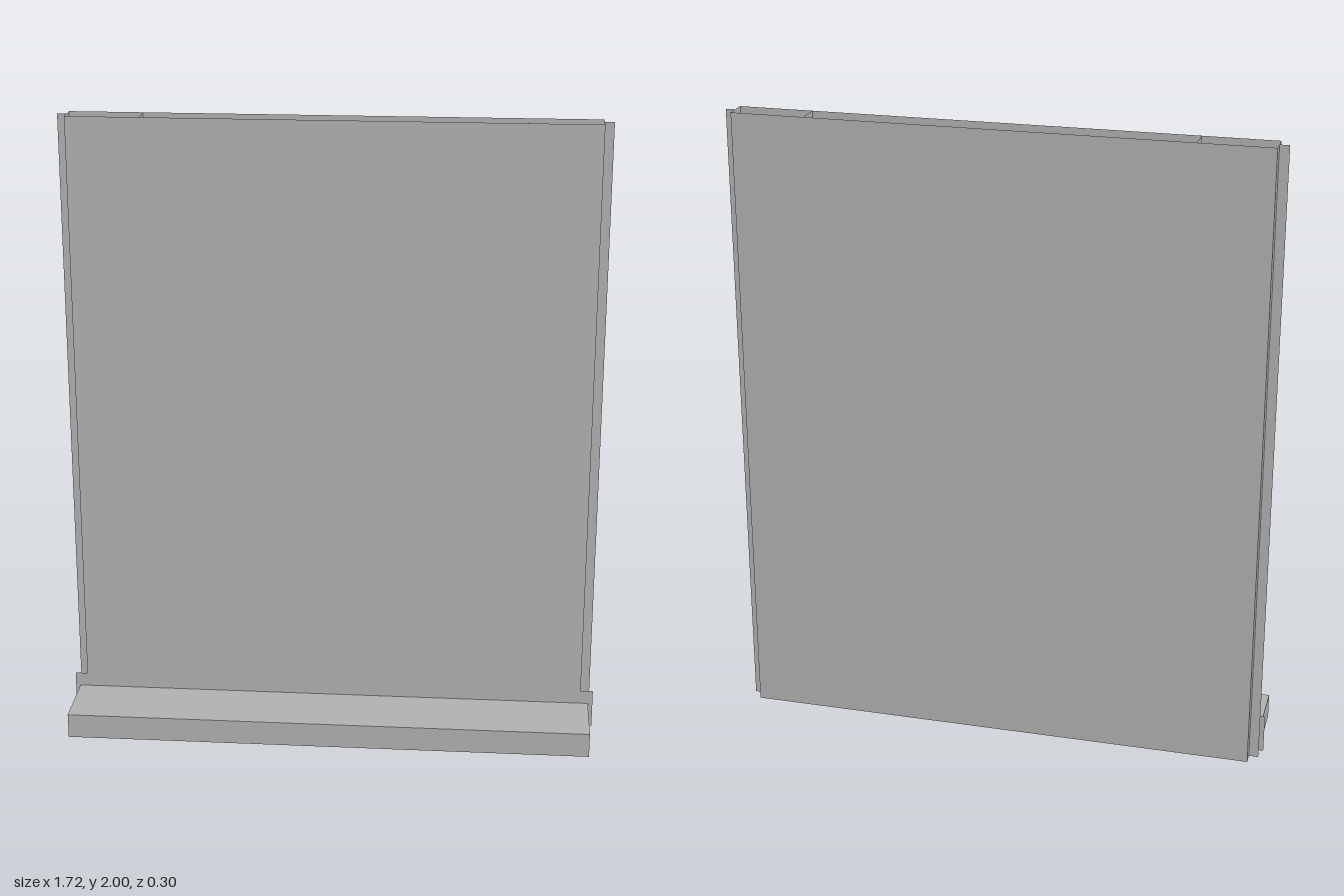
import * as THREE from 'three';

export function createModel() {
  const model = new THREE.Group();
  const grey = new THREE.MeshStandardMaterial({ color: 0xb0b0b0, side: THREE.DoubleSide });
  grey.name = 'plainGrey';

  const H = 2, HALF = 0.82, FRONT = -0.07, BACK = -0.15, MID = -0.112;
  const depth = FRONT - BACK, zc = (FRONT + BACK) / 2;

  const add = (name, geometry, x, y, z) => {
    const mesh = new THREE.Mesh(geometry, grey);
    mesh.name = name;
    mesh.position.set(x, y, z);
    model.add(mesh);
    return mesh;
  };
  // Thin sheets facing along z or x
  const sheetZ = (name, w, h, x, y, z, back = false) => {
    add(name, new THREE.PlaneGeometry(w, h), x, y, z).rotation.y = back ? Math.PI : 0;
  };
  const sheetX = (name, d, h, x, y, z, side) => {
    add(name, new THREE.PlaneGeometry(d, h), x, y, z).rotation.y = side * Math.PI / 2;
  };

  // Hollow panel, open at the top
  sheetZ('frontSheet', HALF * 2, H, 0, H / 2, FRONT);
  sheetZ('backSheet', HALF * 2, H, 0, H / 2, BACK, true);
  add('panelBottom', new THREE.PlaneGeometry(HALF * 2, MID - BACK), 0, 0, (MID + BACK) / 2).rotation.x = Math.PI / 2;

  for (const s of [-1, 1]) {
    // Side wall, inner rib, edge fin and foot bracket
    sheetX('sideWall', depth, H, s * HALF, H / 2, zc, s);
    sheetX('innerRib', depth, H, s * 0.59, H / 2, zc, s);
    sheetZ('edgeFin', 0.03, H, s * 0.835, H / 2, MID);
    sheetZ('footBracket', 0.04, 0.125, s * 0.84, 0.0625, FRONT);
  }

  // Solid foot
  const footDepth = 0.15 - MID;
  add('foot', new THREE.BoxGeometry(1.69, 0.08, footDepth), 0, 0.04, 0.15 - footDepth / 2);

  return model;
}
